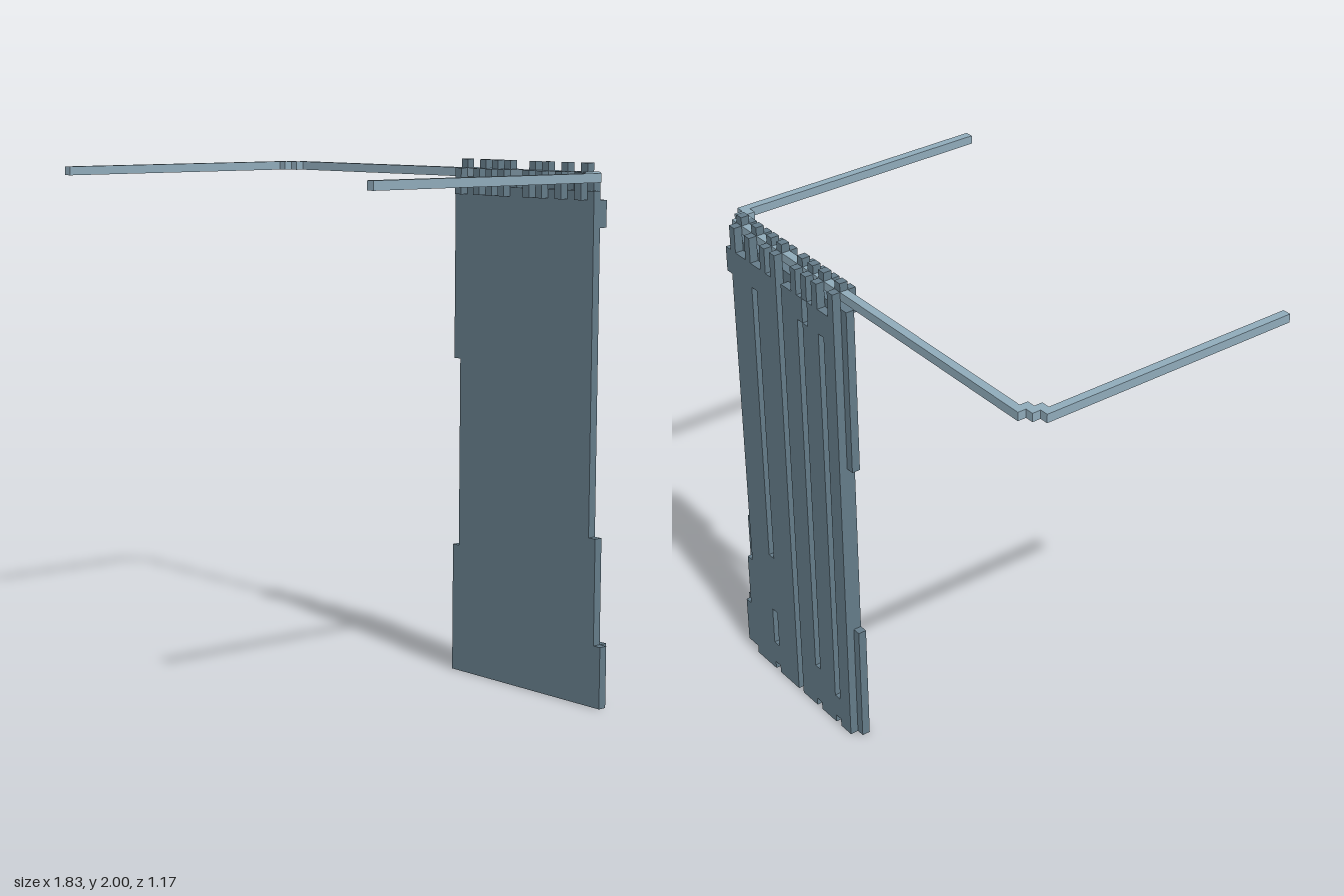
import * as THREE from 'three';

const U = 1 / 30; // size of one grid cell

const rodMaterial = new THREE.MeshStandardMaterial({ color: 0x8faab9 });
rodMaterial.name = 'pale blue grey';
const clothMaterial = new THREE.MeshStandardMaterial({ color: 0x647b88 });
clothMaterial.name = 'slate blue grey';

// Block given by cell ranges: x 0..55, y 0..60, z 0..35 (0 is the back)
function block(parent, name, material, x0, x1, y0, y1, z0, z1) {
  const geometry = new THREE.BoxGeometry((x1 - x0) * U, (y1 - y0) * U, (z1 - z0) * U);
  const mesh = new THREE.Mesh(geometry, material);
  mesh.name = name;
  mesh.position.set(((x0 + x1) / 2 - 27.5) * U, ((y0 + y1) / 2) * U, ((z0 + z1) / 2 - 17.5) * U);
  parent.add(mesh);
}

function group(parent, name) {
  const g = new THREE.Group();
  g.name = name;
  parent.add(g);
  return g;
}

export function createModel() {
  const model = new THREE.Group();
  model.name = 'curtainOnRail';

  // Rail: back bar, stepped corners and side arms
  const rail = group(model, 'rail');
  block(rail, 'backBar', rodMaterial, 2, 53, 58, 59, 1, 2);
  for (const right of [false, true]) {
    const part = (name, a, b, z0, z1) =>
      block(rail, name, rodMaterial, right ? 55 - b : a, right ? 55 - a : b, 58, 59, z0, z1);
    part('cornerOuter', 1, 3, 2, 3);
    part('cornerInner', 1, 2, 3, 4);
    part('sideArm', 0, 1, 3, 35);
  }

  // Cloth sheet with stepped side edges
  const shape = new THREE.Shape();
  [[31, 0], [55, 0], [55, 7], [54, 7], [54, 19], [53, 19], [53, 57], [31, 57], [31, 37], [32, 37], [32, 15], [31, 15]]
    .forEach(([x, y], i) => shape[i ? 'lineTo' : 'moveTo']((x - 27.5) * U, y * U));
  const sheet = new THREE.Mesh(
    new THREE.ExtrudeGeometry(shape, { depth: U, bevelEnabled: false }), clothMaterial);
  sheet.name = 'curtainSheet';
  sheet.position.z = -16.5 * U;
  model.add(sheet);

  // Raised folds on the back, split by narrow grooves
  const folds = group(model, 'backFolds');
  [
    [32, 34, 0, 56], [35, 37, 0, 56], [37, 38, 0, 53], [39, 42, 0, 56],
    [43, 47, 0, 56], [48, 52, 0, 56], [52, 53, 1, 14], [53, 54, 1, 7],
  ].forEach(([x0, x1, y0, y1]) => block(folds, 'fold', clothMaterial, x0, x1, y0, y1, 0, 1));
  // Places where the grooves are closed
  [
    [34, 1, 4], [34, 53, 56], [38, 1, 6], [38, 53, 56],
    [47, 1, 4], [47, 9, 17], [47, 53, 56], [52, 53, 56],
  ].forEach(([x, y0, y1]) => block(folds, 'grooveEnd', clothMaterial, x, x + 1, y0, y1, 0, 1));

  // Loops over the rail
  const loops = group(model, 'hangingLoops');
  for (const x of [32, 35, 37, 39, 43, 45, 48, 51]) {
    block(loops, 'loopTop', clothMaterial, x, x + 1, 59, 60, 1, 2);
    block(loops, 'loopFront', clothMaterial, x, x + 1, 56, 59, 2, 3);
    block(loops, 'loopBack', clothMaterial, x, x + 1, 56, 59, 0, 1);
  }
  return model;
}
